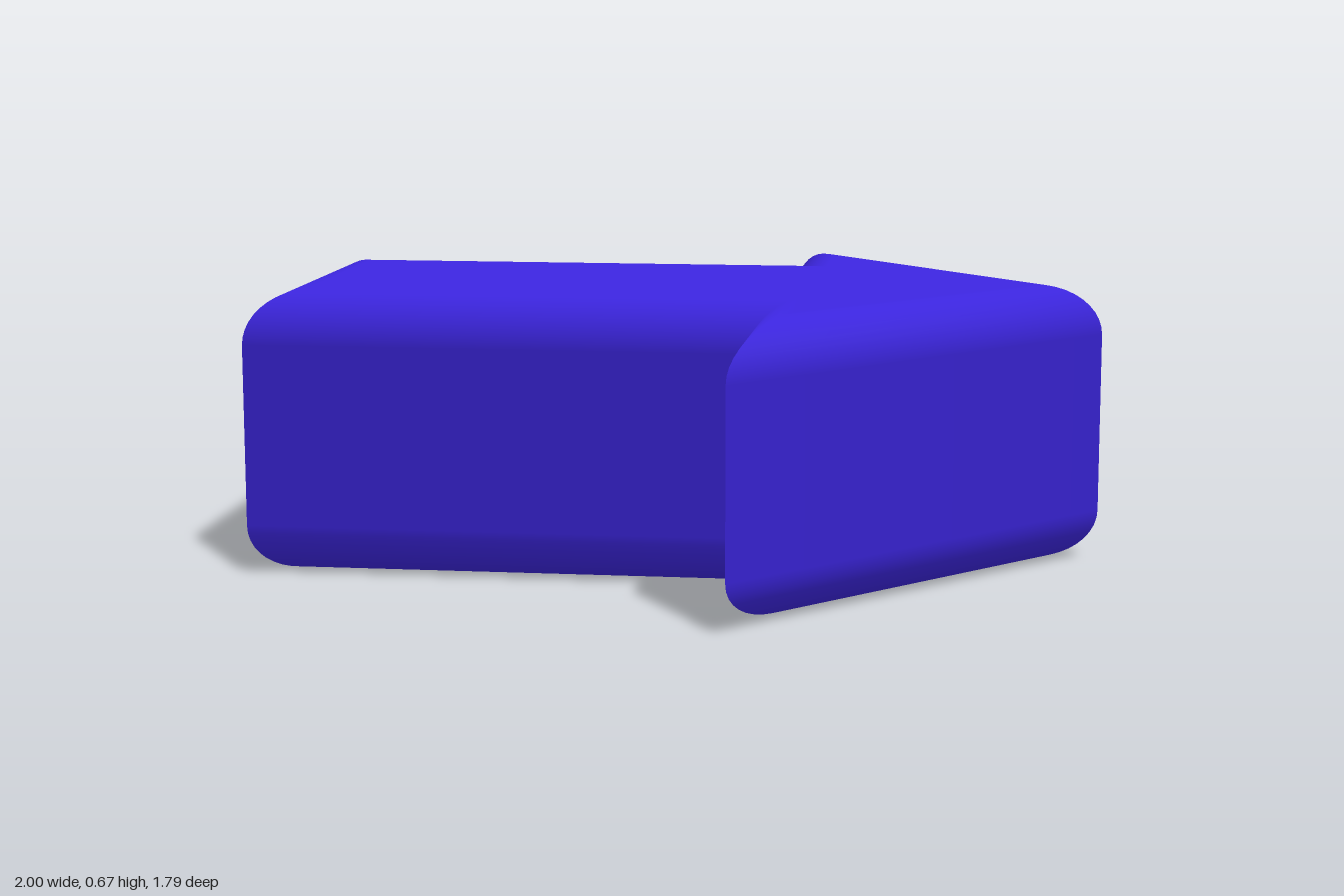
import * as THREE from 'three';

const HEIGHT = 0.67, BEVEL = 0.12, STEPS = 10;

// Arrow outline seen from above, counter-clockwise, as (x, -z)
const outline = [
  [-1, -0.44], [0.19, -0.44], [0.19, -0.895], [1, 0],
  [0.19, 0.895], [0.19, 0.44], [-1, 0.44],
].map(([x, v]) => new THREE.Vector2(x, v));

// Mitre vector of each corner: moving along it shifts both edges by one unit
function mitres(points) {
  const n = points.length;
  const normals = points.map((p, i) => {
    const d = points[(i + 1) % n].clone().sub(p).normalize();
    return new THREE.Vector2(d.y, -d.x);
  });
  return normals.map((b, i) => {
    const a = normals[(i + n - 1) % n];
    return a.clone().add(b).divideScalar(1 + a.dot(b));
  });
}

// Stack of inset outlines: rounded lower edge, upright wall, rounded upper edge
function roundedSlab(points) {
  const n = points.length, m = mitres(points);
  const pos = [], nor = [], idx = [];
  const rings = [];
  for (let k = 0; k <= STEPS; k++) rings.push([(k / STEPS - 1) * Math.PI / 2, BEVEL]);
  for (let k = 0; k <= STEPS; k++) rings.push([(k / STEPS) * Math.PI / 2, HEIGHT - BEVEL]);

  for (const [a, y] of rings) {
    const inset = BEVEL * (1 - Math.cos(a));
    points.forEach((p, i) => {
      const q = p.clone().addScaledVector(m[i], -inset);
      const h = m[i].clone().normalize().multiplyScalar(Math.cos(a));
      pos.push(q.x, y + BEVEL * Math.sin(a), -q.y);
      nor.push(h.x, Math.sin(a), -h.y);
    });
  }
  for (let j = 0; j < rings.length - 1; j++) {
    for (let i = 0; i < n; i++) {
      const a = j * n + i, b = j * n + (i + 1) % n;
      idx.push(a, b, b + n, a, b + n, a + n);
    }
  }
  // Flat top and bottom
  const cap = points.map((p, i) => p.clone().addScaledVector(m[i], -BEVEL));
  const top = (rings.length - 1) * n;
  for (const [a, b, c] of THREE.ShapeUtils.triangulateShape(cap, [])) {
    idx.push(top + a, top + b, top + c, a, c, b);
  }

  const geo = new THREE.BufferGeometry();
  geo.setAttribute('position', new THREE.Float32BufferAttribute(pos, 3));
  geo.setAttribute('normal', new THREE.Float32BufferAttribute(nor, 3));
  geo.setIndex(idx);
  return geo;
}

export function createModel() {
  const group = new THREE.Group();
  group.name = 'arrow';
  const arrow = new THREE.Mesh(
    roundedSlab(outline),
    new THREE.MeshStandardMaterial({ color: 0x3d26e2 })
  );
  arrow.name = 'arrowBody';
  group.add(arrow);
  return group;
}
